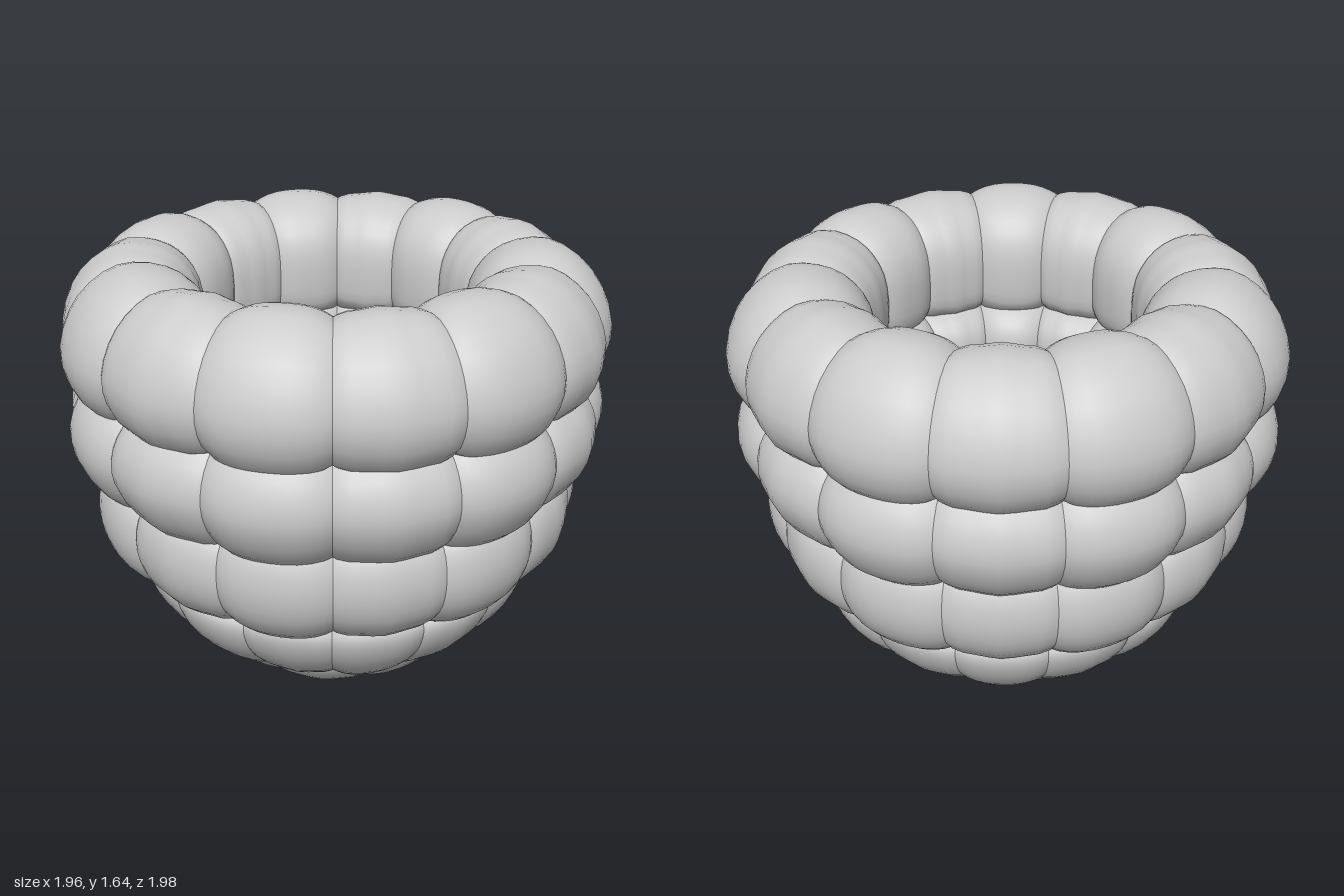
import * as THREE from 'three';

const material = new THREE.MeshStandardMaterial({ color: 0xcccccc });
const V = (r, y) => new THREE.Vector2(r, y);

// One drupelet: a closed radius/height section swept through an angle,
// swelling from a point at one side and closing to a point at the other.
function drupelet(section, halfAngle, size, flute) {
  const curve = new THREE.CatmullRomCurve3(
    section.map(([r, y]) => new THREE.Vector3(r, y, 0)), true);
  const nSec = 30, nAng = 22;
  const pts = curve.getPoints(nSec).slice(0, nSec);
  const mid = V(0, 0);
  pts.forEach(p => mid.add(V(p.x / nSec, p.y / nSec)));
  const pos = [], index = [];
  for (let i = 0; i <= nAng; i++) {
    const t = Math.sin((i / nAng - 0.5) * Math.PI);
    const round = Math.pow(Math.max(0, 1 - Math.pow(Math.abs(t), 2.5)), 0.4);
    const s = size * round * (1 + flute * Math.cos(t * Math.PI * 4));
    const a = t * halfAngle;
    for (const p of pts) {
      const r = mid.x + (p.x - mid.x) * s;
      pos.push(r * Math.sin(a), mid.y + (p.y - mid.y) * s, r * Math.cos(a));
    }
  }
  for (let i = 0; i < nAng; i++) {
    for (let j = 0; j < nSec; j++) {
      const k = (j + 1) % nSec;
      const a = i * nSec + j, b = a + nSec, c = i * nSec + k, d = c + nSec;
      index.push(a, b, c, b, d, c);
    }
  }
  const g = new THREE.BufferGeometry();
  g.setAttribute('position', new THREE.Float32BufferAttribute(pos, 3));
  g.setIndex(index);
  g.computeVertexNormals();
  return g;
}

// Rings from rim to base; sections are [radius, height], from the outer foot upwards
const rings = [
  { name: 'rimRing', count: 14, big: 0, section: [
    [0.92, 1.17], [0.995, 1.33], [0.93, 1.52], [0.77, 1.635], [0.59, 1.61],
    [0.49, 1.5], [0.47, 1.32], [0.5, 1.2], [0.7, 1.14]] },
  { name: 'upperRing', count: 14, big: 0, section: [
    [0.87, 0.82], [0.985, 1.0], [0.96, 1.15], [0.84, 1.25], [0.52, 1.22],
    [0.43, 1.14], [0.42, 1.0], [0.45, 0.85], [0.68, 0.79]] },
  { name: 'middleRing', count: 14, big: 0, section: [
    [0.74, 0.46], [0.87, 0.58], [0.91, 0.73], [0.87, 0.87], [0.7, 0.92],
    [0.46, 0.88], [0.41, 0.7], [0.43, 0.52], [0.57, 0.44]] },
  { name: 'lowerRing', count: 14, big: 1, section: [
    [0.45, 0.13], [0.62, 0.23], [0.73, 0.37], [0.75, 0.48], [0.62, 0.55],
    [0.45, 0.5], [0.38, 0.38], [0.37, 0.22]] },
  { name: 'baseRing', count: 8, big: 0, section: [
    [0.14, 0.06], [0.3, 0.005], [0.45, 0.08], [0.52, 0.2], [0.42, 0.25],
    [0.22, 0.21], [0.13, 0.13]] },
];

export function createModel() {
  const berry = new THREE.Group();
  berry.name = 'berry';

  for (const { name, count, big, section } of rings) {
    const ring = new THREE.Group();
    ring.name = name;
    const step = (Math.PI * 2) / count;
    // Plump drupelets alternate with slightly sunken, fluted ones
    const shapes = [
      drupelet(section, step * 0.8, 1, 0),
      drupelet(section, step * 0.85, 0.96, 0.012),
    ];
    for (let i = 0; i < count; i++) {
      const mesh = new THREE.Mesh(shapes[(i + big) % 2], material);
      mesh.name = 'drupelet';
      mesh.rotation.y = i * step;
      ring.add(mesh);
    }
    berry.add(ring);
  }

  // Single drupelet closing the base, seen at the bottom of the hollow
  const tip = new THREE.Mesh(new THREE.SphereGeometry(0.2, 32, 20), material);
  tip.name = 'centreDrupelet';
  tip.scale.y = 0.55;
  tip.position.set(-0.03, 0.16, 0.02);
  berry.add(tip);

  return berry;
}
